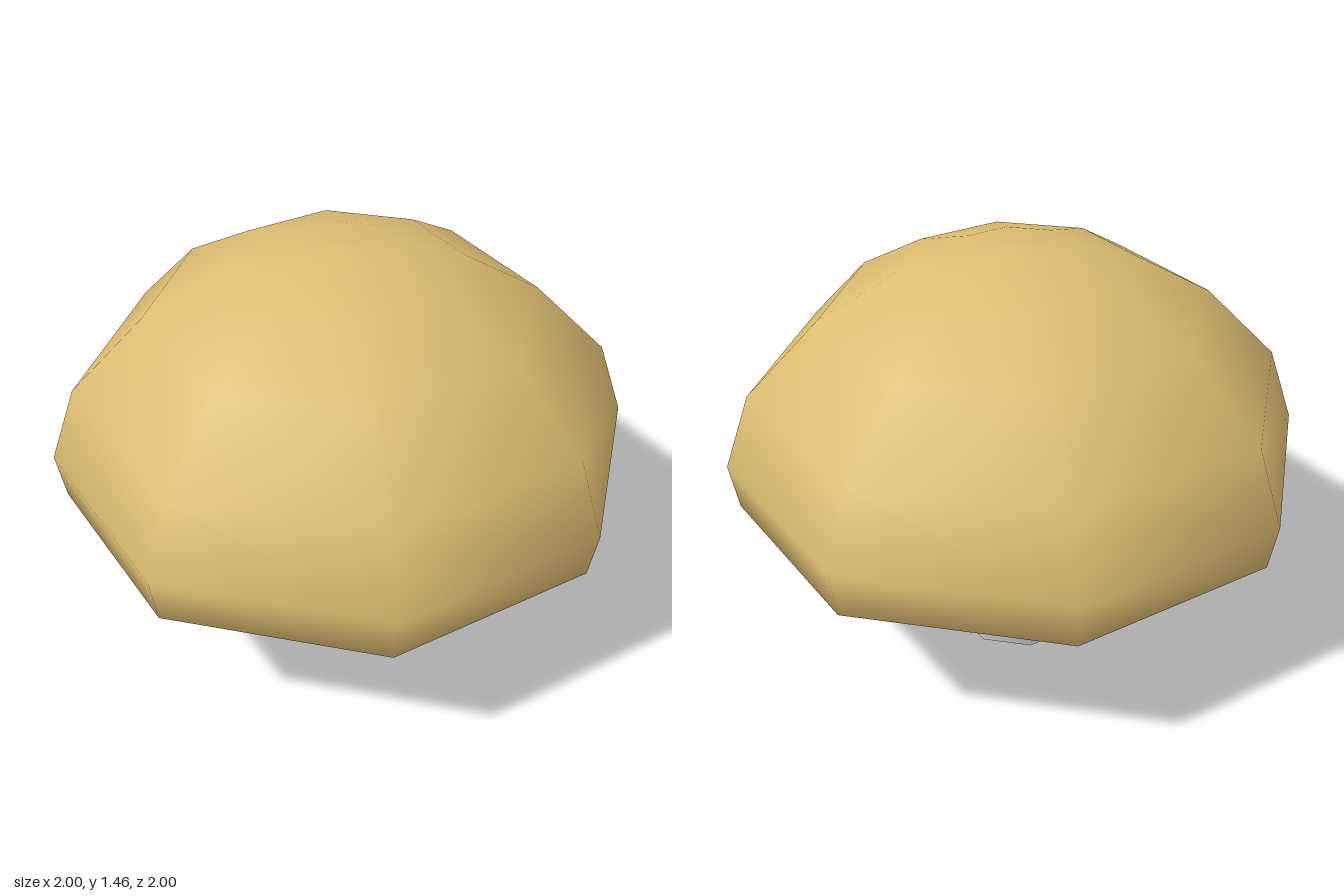
import * as THREE from 'three';

const SIDES = 8;

// Turned part from a profile of [radius, height] points, listed so faces point outward
function turned(name, profile, material) {
  const points = profile.map(([r, y]) => new THREE.Vector2(r, y));
  const mesh = new THREE.Mesh(new THREE.LatheGeometry(points, SIDES), material);
  mesh.name = name;
  return mesh;
}

export function createModel() {
  const group = new THREE.Group();
  group.name = 'knob';
  const gold = new THREE.MeshStandardMaterial({ color: 0xdcbc70 });
  const grey = new THREE.MeshStandardMaterial({ color: 0xcccccc });

  // Domed grip with a flat underside
  group.add(turned('cap', [
    [0, 0.51], [0.845, 0.51], [0.97, 0.565], [1, 0.725], [0.91, 0.985],
    [0.66, 1.24], [0.4, 1.385], [0.2, 1.44], [0, 1.455],
  ], gold));

  // Hollow stem widening into a bevelled collar below the cap
  const stem = turned('stemAndCollar', [
    [0, 0.3], [0.185, 0.3], [0.185, 0], [0.228, 0], [0.228, 0.347],
    [0.29, 0.347], [0.29, 0.475], [0.265, 0.512],
  ], grey);
  stem.position.z = -0.006;
  group.add(stem);

  return group;
}
